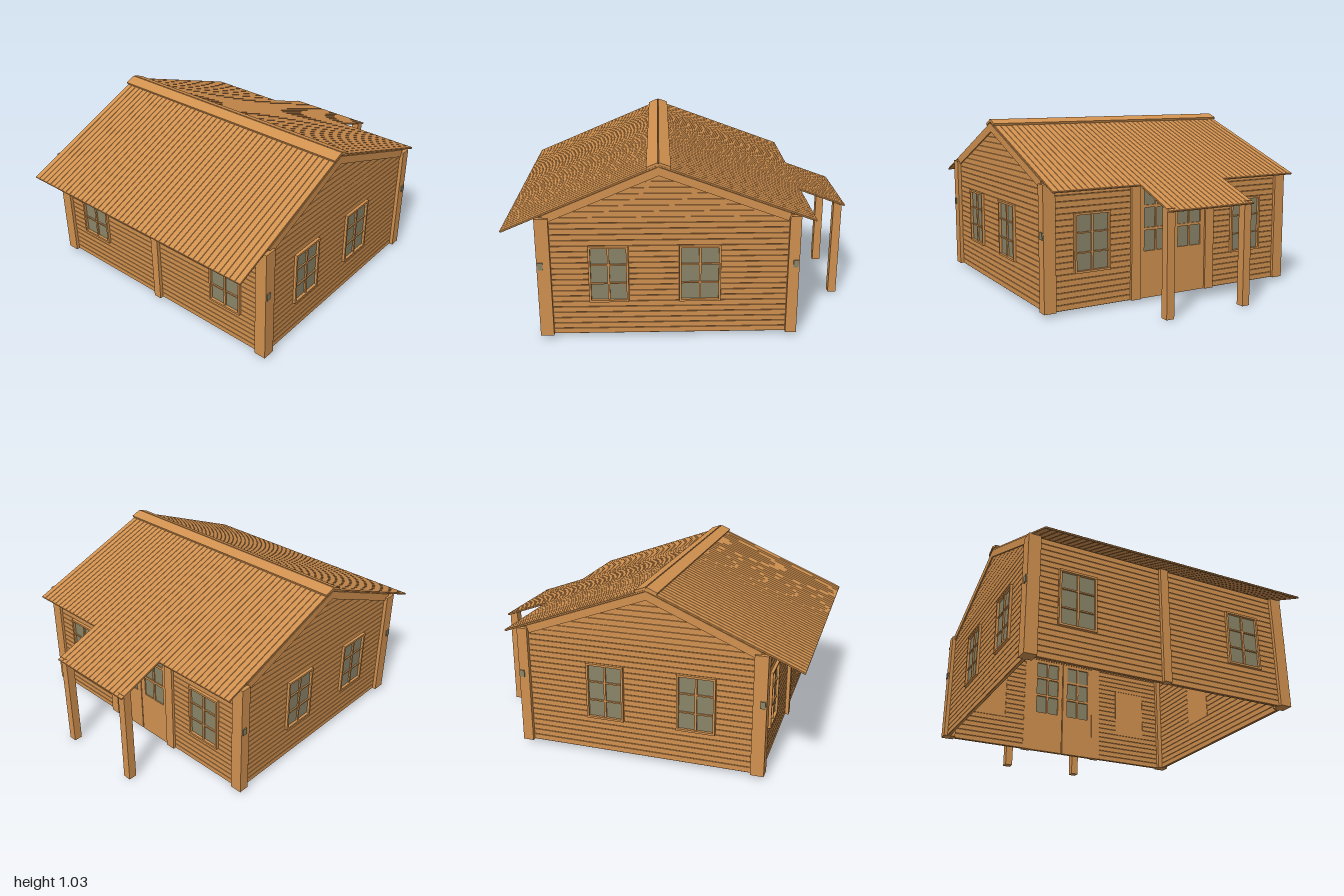
import * as THREE from 'three';
import { mergeGeometries } from 'three/addons/utils/BufferGeometryUtils.js';

const wood = new THREE.MeshStandardMaterial({ color: 0xd1914f });
wood.name = 'timber';
const glass = new THREE.MeshStandardMaterial({ color: 0x8a8468 });
glass.name = 'window glass';

const ROW = 1 / 30, BASE = 0.02, EAVE = 0.72;
const RIDGE_X = -0.14, RIDGE_Y = 1.012;
const XL = -0.79, XR = 0.615, ZW = 0.805;
const SLOPE_L = 0.401, SLOPE_R = 0.3546;

function add(parent, name, geometry, material = wood) {
  const m = new THREE.Mesh(geometry, material);
  m.name = name;
  parent.add(m);
  return m;
}

// Box given by its two opposite corners
function box(x0, x1, y0, y1, z0, z1) {
  return new THREE.BoxGeometry(x1 - x0, y1 - y0, z1 - z0)
    .translate((x0 + x1) / 2, (y0 + y1) / 2, (z0 + z1) / 2);
}

// Board with chamfered edges, outer face at z = 0; may taper towards its top
function plank(bl, br, tl, tr, y0, y1, t = 0.02) {
  const shape = new THREE.Shape([[bl, y0], [br, y0], [tr, y1], [tl, y1]]
    .map(([x, y]) => new THREE.Vector2(x, y)));
  const b = 0.002;
  return new THREE.ExtrudeGeometry(shape, {
    depth: t - 2 * b, bevelEnabled: true, bevelSegments: 1,
    bevelSize: b, bevelThickness: b, bevelOffset: -b,
  }).translate(0, 0, b - t);
}

// Rows of boards between left(y) and right(y), cut around the openings
function boardedWall(parent, left, right, top, openings) {
  const boards = [];
  for (let y = BASE; y < top - 0.001; y += ROW) {
    const y1 = Math.min(y + ROW, top), mid = (y + y1) / 2;
    const edges = [[left(y), left(y1)]];
    for (const o of openings) {
      if (mid > o.y0 && mid < o.y1) edges.push([o.u0, o.u0], [o.u1, o.u1]);
    }
    edges.push([right(y), right(y1)]);
    for (let i = 0; i < edges.length; i += 2) {
      const [a, b] = [edges[i], edges[i + 1]];
      boards.push(plank(a[0], b[0], a[1], b[1], y, y1));
    }
  }
  add(parent, 'wallBoards', mergeGeometries(boards));
}

// Frame, glazing bars, glass and inner panel
function addWindow(parent, u0, u1, y0, y1) {
  const g = new THREE.Group(), w = 0.012, um = (u0 + u1) / 2;
  g.name = 'window';
  const bars = [
    box(u0, u0 + w, y0, y1, -0.02, 0.015), box(u1 - w, u1, y0, y1, -0.02, 0.015),
    box(u0, u1, y1 - w, y1, -0.02, 0.016), box(u0, u1, y0, y0 + w, -0.02, 0.016),
    box(um - 0.006, um + 0.006, y0, y1, -0.01, 0.009),
  ];
  for (const k of [1, 2]) {
    const y = y0 + (y1 - y0) * k / 3;
    bars.push(box(u0, u1, y - 0.004, y + 0.004, -0.01, 0.008));
  }
  add(g, 'windowFrame', mergeGeometries(bars));
  add(g, 'windowPane', box(u0 + 0.004, u1 - 0.004, y0 + 0.004, y1 - 0.004, -0.006, 0), glass);
  add(g, 'windowInnerPanel', box(u0, u1, y0, y1, -0.021, -0.016));
  parent.add(g);
}

// One leaf of the double door with six panes
function addDoorLeaf(parent, s, y1) {
  const g = new THREE.Group();
  g.name = 'doorLeaf';
  const span = (a, b) => (s > 0 ? [a, b] : [-b, -a]);
  const bars = [box(...span(0.003, 0.225), BASE, 0.295, -0.02, 0.004)];
  for (const [a, b] of [[0.003, 0.035], [0.109, 0.121], [0.195, 0.225]]) {
    bars.push(box(...span(a, b), 0.295, y1, -0.02, 0.004));
  }
  for (const [a, b] of [[0.415, 0.43], [0.545, 0.56], [0.665, y1]]) {
    bars.push(box(...span(0.003, 0.225), a, b, -0.02, 0.0035));
  }
  add(g, 'doorFrame', mergeGeometries(bars));
  add(g, 'doorPanes', box(...span(0.03, 0.2), 0.29, 0.67, -0.01, -0.003), glass);
  parent.add(g);
}

// Sloping roof of narrow boards; s = 1 falls to +x, s = -1 to -x
function roofSide(parent, s, angle, lengthAt) {
  const g = new THREE.Group();
  g.name = s > 0 ? 'porchSideRoof' : 'plainSideRoof';
  g.position.set(RIDGE_X, RIDGE_Y, 0);
  g.rotation.set(0, s * Math.PI / 2, s * (Math.PI / 2 - angle), 'ZYX');
  const n = 46, pitch = 1.62 / n, boards = [];
  for (let i = 0; i < n; i++) {
    const u = -0.81 + i * pitch, len = lengthAt(u + pitch / 2);
    boards.push(plank(u, u + pitch, u, u + pitch, -len, 0, 0.011));
  }
  add(g, 'roofBoards', mergeGeometries(boards));
  add(g, 'ridgeBoard', box(-0.815, 0.815, -0.065, 0.002, 0, 0.014));
  // Bargeboards along both gables
  for (const e of [-1, 1]) {
    const z = e * 0.806;
    add(g, 'bargeBoard', box(z - 0.007, z + 0.007, s > 0 ? -0.77 : -0.69, 0, -0.056, -0.011));
  }
  parent.add(g);
}

export function createModel() {
  const model = new THREE.Group();
  model.name = 'logCabin';

  const wall = (name, x, z, ry) => {
    const g = new THREE.Group();
    g.name = name;
    g.position.set(x, 0, z);
    g.rotation.y = ry;
    model.add(g);
    return g;
  };
  const WY0 = BASE + 6 * ROW, WY1 = BASE + 16 * ROW;
  const openings = (list) => list.map(([u0, u1]) => ({ u0, u1, y0: WY0, y1: WY1 }));

  // Gable walls follow the roof slopes above the eaves
  const under = RIDGE_Y - 0.016;
  const left = (y) => Math.max(XL, RIDGE_X - (under - y) / Math.tan(SLOPE_L));
  const right = (y) => Math.min(XR, RIDGE_X + (under - y) / Math.tan(SLOPE_R));
  const front = wall('frontWall', 0, ZW, 0);
  const frontWindows = [[-0.53, -0.31], [-0.03, 0.2]];
  boardedWall(front, left, right, 0.985, openings(frontWindows));
  frontWindows.forEach(([a, b]) => addWindow(front, a, b, WY0, WY1));

  const back = wall('backWall', 0, -ZW, Math.PI);
  const backWindows = [[-0.22, 0], [0.31, 0.53]];
  boardedWall(back, (y) => -right(y), (y) => -left(y), 0.985, openings(backWindows));
  backWindows.forEach(([a, b]) => addWindow(back, a, b, WY0, WY1));

  // Long walls: two windows each, with the double door on the porch side
  const sideWindows = [[-0.64, -0.42], [0.42, 0.64]];
  const end = (u) => () => u;
  const porchWall = wall('porchWall', XR, 0, Math.PI / 2);
  const doorTop = BASE + 20 * ROW;
  const sideOpenings = openings(sideWindows);
  sideOpenings.splice(1, 0, { u0: -0.235, u1: 0.235, y0: BASE, y1: doorTop });
  boardedWall(porchWall, end(-0.8), end(0.8), EAVE, sideOpenings);
  const plainWall = wall('plainWall', XL, 0, -Math.PI / 2);
  boardedWall(plainWall, end(-0.8), end(0.8), EAVE, openings(sideWindows));
  for (const g of [porchWall, plainWall]) {
    sideWindows.forEach(([a, b]) => addWindow(g, a, b, WY0, WY1));
  }
  add(plainWall, 'middlePost', box(-0.025, 0.025, BASE, EAVE, -0.02, 0.022));

  for (const s of [-1, 1]) {
    addDoorLeaf(porchWall, s, doorTop);
    add(porchWall, 'doorPost', box(s * 0.255 - 0.03, s * 0.255 + 0.03, BASE, 0.705, -0.022, 0.016));
    // Porch posts
    add(model, 'porchPost', box(0.93, 0.98, 0, 0.6, s * 0.255 - 0.024, s * 0.255 + 0.024));
    // Corner posts and their small fittings
    for (const [a, b] of [[-0.81, -0.735], [0.57, 0.632]]) {
      add(model, 'cornerPost', box(a, b, BASE, EAVE, s * 0.791 - 0.036, s * 0.791 + 0.036));
      const x = a < 0 ? -0.79 : 0.612;
      add(model, 'postFitting', box(x - 0.014, x + 0.014, 0.425, 0.465, s * 0.829 - 0.004, s * 0.829 + 0.004), glass);
    }
  }

  // Roof, lengthened over the porch
  roofSide(model, -1, SLOPE_L, () => 0.86 / Math.cos(SLOPE_L));
  roofSide(model, 1, SLOPE_R, (u) => (Math.abs(u) < 0.2817 ? 1.14 : 0.86) / Math.cos(SLOPE_R));
  return model;
}
